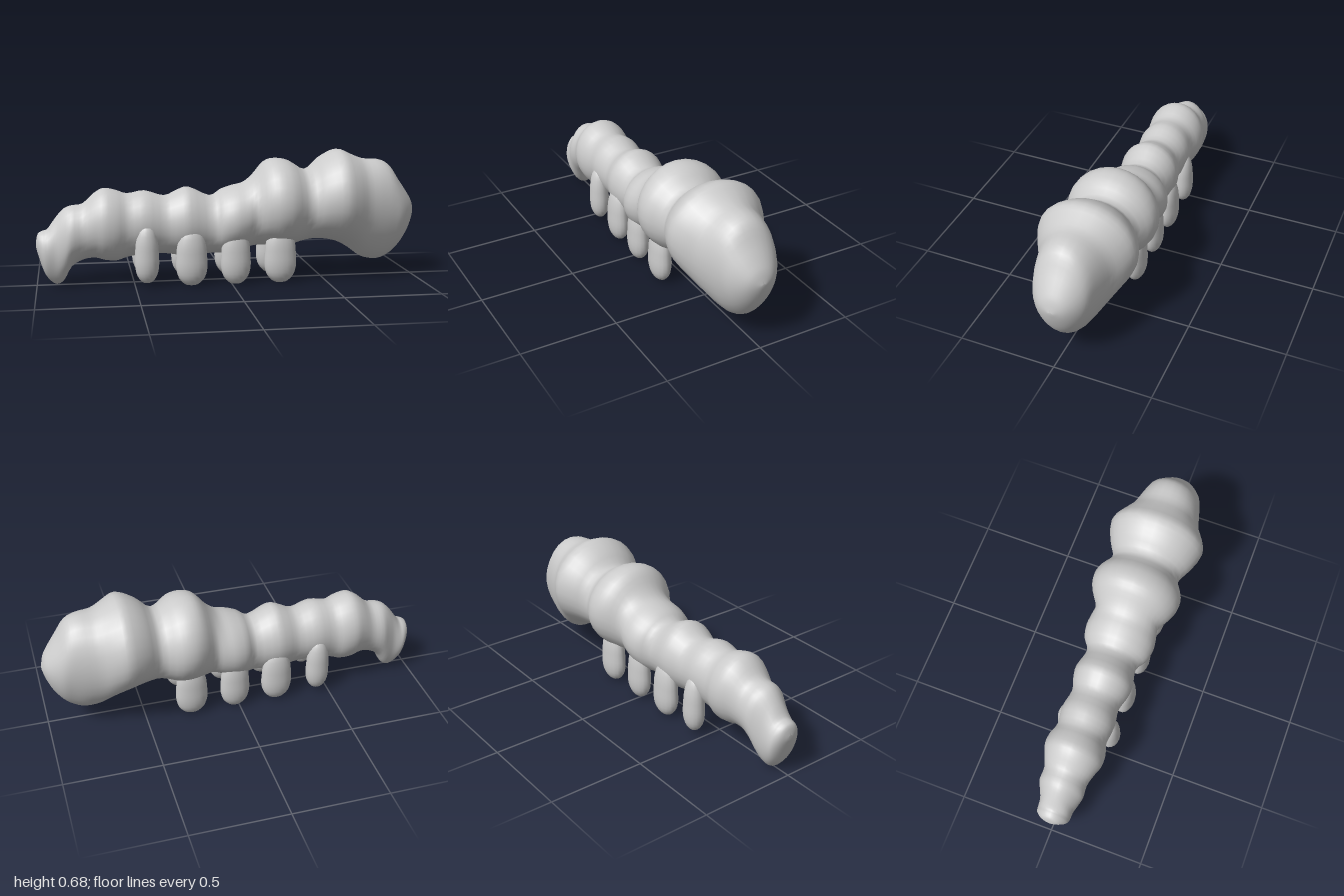
import * as THREE from 'three';

const material = new THREE.MeshStandardMaterial({ color: 0xcccccc });

// Body cross-sections from tail to head: x, underside, top, half width
const SECTIONS = [
  [-1.0, 0.205, 0.23, 0.015], [-0.99, 0.165, 0.275, 0.05], [-0.965, 0.085, 0.29, 0.08],
  [-0.94, 0.04, 0.3, 0.088], [-0.9, 0.008, 0.355, 0.09], [-0.86, 0.03, 0.4, 0.105],
  [-0.82, 0.1, 0.418, 0.12], [-0.76, 0.135, 0.427, 0.118], [-0.7, 0.143, 0.48, 0.138],
  [-0.65, 0.13, 0.505, 0.156], [-0.59, 0.125, 0.494, 0.153], [-0.53, 0.143, 0.475, 0.135],
  [-0.44, 0.155, 0.488, 0.145], [-0.34, 0.155, 0.46, 0.131], [-0.27, 0.145, 0.487, 0.15],
  [-0.21, 0.14, 0.502, 0.158], [-0.1, 0.15, 0.455, 0.138], [-0.04, 0.15, 0.485, 0.175],
  [0.02, 0.155, 0.505, 0.19], [0.08, 0.17, 0.52, 0.183], [0.13, 0.185, 0.56, 0.176],
  [0.19, 0.185, 0.627, 0.215], [0.25, 0.18, 0.645, 0.239], [0.32, 0.185, 0.63, 0.233],
  [0.41, 0.208, 0.582, 0.187], [0.49, 0.213, 0.645, 0.228], [0.58, 0.193, 0.687, 0.26],
  [0.65, 0.155, 0.662, 0.236], [0.72, 0.105, 0.635, 0.195], [0.8, 0.09, 0.63, 0.17],
  [0.86, 0.112, 0.603, 0.153], [0.91, 0.155, 0.53, 0.135], [0.955, 0.22, 0.465, 0.1],
  [0.985, 0.29, 0.415, 0.06], [1.0, 0.345, 0.36, 0.012],
];

// Smooth loft through the sections
function bodyGeometry(steps = 3, sides = 28) {
  const spine = new THREE.SplineCurve(SECTIONS.map(s => new THREE.Vector2(s[0], s[3])));
  const edges = new THREE.SplineCurve(SECTIONS.map(s => new THREE.Vector2(s[1], s[2])));
  const rings = (SECTIONS.length - 1) * steps;
  const positions = [], index = [];
  for (let i = 0; i <= rings; i++) {
    const a = spine.getPoint(i / rings), b = edges.getPoint(i / rings);
    const mid = (b.x + b.y) / 2, half = (b.y - b.x) / 2;
    const egg = 0.12 * THREE.MathUtils.smoothstep(a.x, 0.5, 0.8);
    for (let j = 0; j < sides; j++) {
      const t = (j / sides) * Math.PI * 2;
      // The head is a little narrower below
      positions.push(a.x, mid + half * Math.cos(t), a.y * Math.sin(t) * (1 + egg * (Math.cos(t) - 0.1)));
      if (i < rings) {
        const k = i * sides + j, n = i * sides + (j + 1) % sides;
        index.push(k, n, k + sides, n, n + sides, k + sides);
      }
    }
  }
  // Close the tiny ends
  for (let j = 1; j < sides - 1; j++) {
    const e = rings * sides;
    index.push(0, j + 1, j, e, e + j, e + j + 1);
  }
  const geometry = new THREE.BufferGeometry();
  geometry.setAttribute('position', new THREE.Float32BufferAttribute(positions, 3));
  geometry.setIndex(index);
  geometry.computeVertexNormals();
  return geometry;
}

// Stubby rounded leg whose top merges into the side of the body
function legGeometry() {
  const profile = new THREE.SplineCurve([
    [0, 0.004], [0.035, 0.012], [0.066, 0.048], [0.078, 0.1],
    [0.076, 0.16], [0.07, 0.22], [0.048, 0.28], [0, 0.32],
  ].map(p => new THREE.Vector2(...p))).getPoints(18);
  profile.forEach(p => { p.x = Math.max(p.x, 0); });
  return new THREE.LatheGeometry(profile, 18).scale(1, 1, 0.66);
}

export function createModel() {
  const group = new THREE.Group();
  group.name = 'caterpillar';

  const body = new THREE.Mesh(bodyGeometry(), material);
  body.name = 'body';
  group.add(body);

  // Four pairs of legs: x, girth, ground gap
  const leg = legGeometry();
  for (const [x, girth, lift] of [[-0.44, 0.8, 0.02], [-0.21, 1.05, 0], [0.02, 1, 0], [0.255, 1.08, 0]]) {
    for (const side of [1, -1]) {
      const mesh = new THREE.Mesh(leg, material);
      mesh.name = side > 0 ? 'frontSideLeg' : 'backSideLeg';
      mesh.position.set(x, lift, side * 0.121);
      mesh.scale.set(girth, 1, 1);
      group.add(mesh);
    }
  }
  return group;
}
